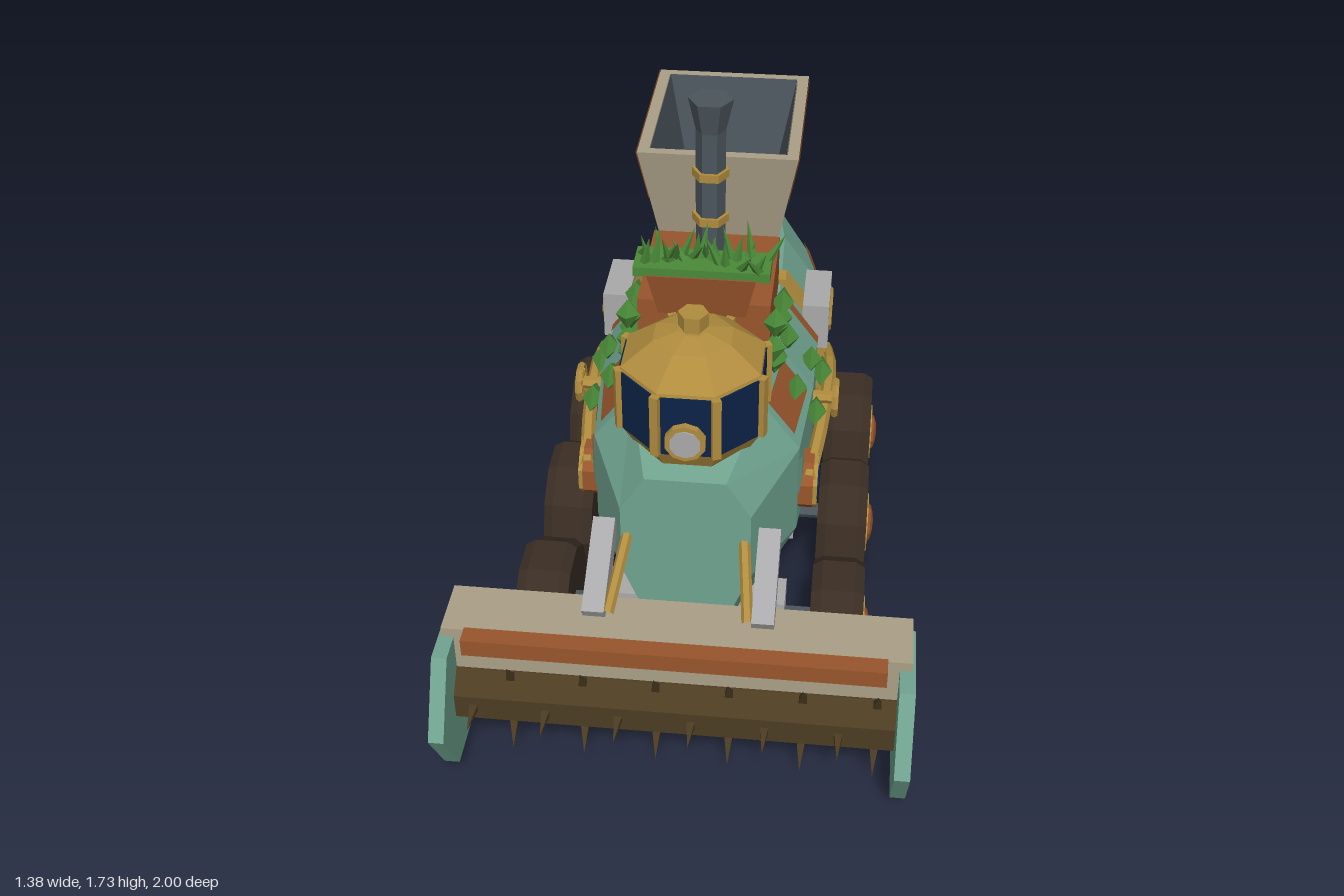
import * as THREE from 'three';
import { mergeGeometries } from 'three/addons/utils/BufferGeometryUtils.js';

const mat = (name, color, double) => {
  const m = new THREE.MeshStandardMaterial({ color });
  m.name = name;
  if (double) m.side = THREE.DoubleSide;
  return m;
};

// Faceted copy of a geometry, without uvs so that pieces merge
const flat = (g) => {
  const f = g.index ? g.toNonIndexed() : g.clone();
  f.deleteAttribute('uv');
  f.computeVertexNormals();
  return f;
};
const mirrored = (g) => {
  const f = flat(g), p = f.attributes.position, v = new THREE.Vector3(), w = new THREE.Vector3();
  f.scale(-1, 1, 1);
  for (let i = 0; i < p.count; i += 3) {
    v.fromBufferAttribute(p, i + 1);
    w.fromBufferAttribute(p, i + 2);
    p.setXYZ(i + 1, w.x, w.y, w.z);
    p.setXYZ(i + 2, v.x, v.y, v.z);
  }
  f.computeVertexNormals();
  return f;
};
const fromPoints = (points, index) => {
  const g = new THREE.BufferGeometry();
  g.setAttribute('position', new THREE.Float32BufferAttribute(points.flat(), 3));
  g.setIndex(index);
  return g;
};
// Skin closed rings, counter-clockwise as seen from the end of the loft
const loft = (rings) => {
  const n = rings[0].length, idx = [], last = (rings.length - 1) * n;
  for (let i = 0; i < rings.length - 1; i++) for (let j = 0; j < n; j++) {
    const k = (j + 1) % n, a = i * n + j, b = i * n + k;
    idx.push(a, b, b + n, a, b + n, a + n);
  }
  for (let j = 1; j < n - 1; j++) idx.push(0, j + 1, j, last, last + j, last + j + 1);
  return fromPoints(rings.flat(), idx);
};
const rect = (w, y, z0, z1) => [[w, y, z1], [w, y, z0], [-w, y, z0], [-w, y, z1]];
const box = (w, h, d, x, y, z, rx = 0) => new THREE.BoxGeometry(w, h, d).rotateX(rx).translate(x, y, z);
const upright = (r0, r1, y0, y1, n, z, turn = 0) =>
  new THREE.CylinderGeometry(r1, r0, y1 - y0, n).rotateY(turn).translate(0, (y0 + y1) / 2, z);
const sideways = (r, x0, x1, n, y, z, turn = 0) =>
  new THREE.CylinderGeometry(r, r, x1 - x0, n).rotateY(turn).rotateZ(-Math.PI / 2).translate((x0 + x1) / 2, y, z);
const pipe = (pts, r, seg, n = 6) =>
  new THREE.TubeGeometry(new THREE.CatmullRomCurve3(pts.map((p) => new THREE.Vector3(...p))), seg, r, n);

// Hull sections: z, half width, bottom, top
const hull = [[-0.925, 0.27, 0.24, 0.975], [-0.7, 0.325, 0.2, 0.995], [-0.45, 0.335, 0.2, 1.0],
  [-0.1, 0.335, 0.2, 0.985], [0.2, 0.31, 0.24, 0.96], [0.5, 0.19, 0.36, 0.89]];
const LOW = 0.35, HIGH = 0.78, FLAT = 0.62;
const octagon = (z, w, y0, y1) => {
  const a = y0 + (y1 - y0) * LOW, b = y0 + (y1 - y0) * HIGH, t = w * FLAT;
  return [[w, a, z], [w, b, z], [t, y1, z], [-t, y1, z], [-w, b, z], [-w, a, z], [-t, y0, z], [t, y0, z]];
};
const hullX = (z, y) => {
  let i = 0;
  while (i < hull.length - 2 && z > hull[i + 1][0]) i++;
  const t = THREE.MathUtils.clamp((z - hull[i][0]) / (hull[i + 1][0] - hull[i][0]), 0, 1);
  const [, w, y0, y1] = hull[i].map((v, k) => v + (hull[i + 1][k] - v) * t);
  const f = THREE.MathUtils.clamp((y - y0) / (y1 - y0), 0, 1);
  const k = f < LOW ? f / LOW : f > HIGH ? (1 - f) / (1 - HIGH) : 1;
  return w * (FLAT + (1 - FLAT) * k);
};
// Plate that follows the hull side
const patch = (z0, z1, y0, y1) => {
  const g = new THREE.PlaneGeometry(z1 - z0, y1 - y0, 4, 5).rotateY(Math.PI / 2)
    .translate(0, (y0 + y1) / 2, (z0 + z1) / 2);
  const p = g.attributes.position;
  for (let i = 0; i < p.count; i++) p.setX(i, hullX(p.getZ(i), p.getY(i)) + 0.009);
  return g;
};

export function createModel() {
  const root = new THREE.Group();
  root.name = 'harvester';
  const teal = mat('teal paint', 0x70a490, true), rust = mat('rust', 0x98552c, true), beige = mat('beige paint', 0xaba087),
    brass = mat('brass', 0xb08c3e), tyre = mat('tyre rubber', 0x3a2d23), iron = mat('dark iron', 0x4c3c22),
    glass = mat('navy glass', 0x0c2347), steel = mat('steel', 0x4b555c), silver = mat('silver', 0xa9a9ab),
    leaf = mat('leaf green', 0x4a8a38);
  const add = (name, m, ...geos) => {
    const mesh = new THREE.Mesh(mergeGeometries(geos.map(flat)), m);
    mesh.name = name;
    root.add(mesh);
  };
  const pair = (name, m, ...geos) => {
    add(name + 'Left', m, ...geos);
    add(name + 'Right', m, ...geos.map(mirrored));
  };
  let seed = 7;
  const rnd = () => (seed = (seed * 16807) % 2147483647) / 2147483647;

  // Hull, strap and patches
  add('hull', teal, loft(hull.map((s) => octagon(...s))));
  add('hullStrap', brass, loft([octagon(-0.46, 0.36, 0.18, 1.015), octagon(-0.4, 0.36, 0.18, 1.015)]));
  pair('rustPatches', rust, patch(-0.05, 0.18, 0.84, 0.95), patch(-0.36, -0.32, 0.83, 0.97),
    patch(-0.92, -0.77, 0.65, 0.85), patch(-0.38, -0.28, 0.42, 0.48), patch(-0.92, -0.77, 0.25, 0.43));
  pair('tealPatches', teal, patch(0.15, 0.3, 0.64, 0.77), patch(-0.39, -0.19, 0.48, 0.65));

  // Rear door
  add('rearDoor', rust, box(0.34, 0.51, 0.02, 0, 0.585, -0.932));
  add('rearDoorBar', brass, box(0.54, 0.04, 0.03, 0, 0.62, -0.948));
  add('rearDoorRing', brass, new THREE.TorusGeometry(0.035, 0.008, 4, 6).translate(0, 0.75, -0.945));

  // Wheels, axles and brackets
  const tread = [[0, -0.08], [0.2, -0.08], [0.217, -0.05], [0.217, 0.05], [0.2, 0.08], [0, 0.08]]
    .map((p) => new THREE.Vector2(...p));
  [0.33, -0.175, -0.68].forEach((z, i) => {
    const name = ['front', 'middle', 'rear'][i];
    pair(name + 'Tyre', tyre, new THREE.LatheGeometry(tread, 10).rotateZ(-Math.PI / 2).translate(0.45, 0.215, z));
    pair(name + 'Hub', brass, sideways(0.1, 0.5, 0.536, 10, 0.215, z));
    pair(name + 'HubCap', rust, new THREE.SphereGeometry(0.066, 8, 3, 0, Math.PI * 2, 0, Math.PI / 2)
      .scale(1, 0.3, 1).rotateZ(-Math.PI / 2).translate(0.535, 0.215, z));
    add(name + 'Axle', steel, sideways(0.025, -0.4, 0.4, 6, 0.25, z));
    pair(name + 'Bracket', silver, box(0.18, 0.17, 0.12, 0.2, 0.255, z));
  });

  // Turret with windows
  const turn = Math.PI / 8, tz = 0.27;
  add('turretBase', brass, upright(0.17, 0.222, 0.88, 0.97, 8, tz, turn));
  add('turretWindows', glass, upright(0.222, 0.222, 0.965, 1.16, 8, tz, turn));
  const posts = [];
  for (let i = 0; i < 8; i++) {
    posts.push(new THREE.BoxGeometry(0.026, 0.2, 0.026).translate(0, 1.065, 0.22)
      .rotateY(turn + i * Math.PI / 4).translate(0, 0, tz));
  }
  add('turretPosts', brass, ...posts);
  const roof = [[0.0, 1.15], [0.22, 1.15], [0.215, 1.17], [0.12, 1.24], [0.045, 1.26], [0, 1.26]];
  add('turretRoof', brass, new THREE.LatheGeometry(roof.map((p) => new THREE.Vector2(...p)), 8)
    .rotateY(turn).translate(0, 0, tz));
  add('roofKnob', brass, upright(0.035, 0.035, 1.25, 1.3, 6, tz, Math.PI / 2), upright(0.044, 0.044, 1.27, 1.315, 6, tz, Math.PI / 2));
  const lamp = (r, z0, z1) => new THREE.CylinderGeometry(r, r, z1 - z0, 10).rotateX(Math.PI / 2).translate(0, 1.02, (z0 + z1) / 2);
  add('headlightRim', brass, lamp(0.06, 0.45, 0.495));
  add('headlightLens', silver, lamp(0.045, 0.49, 0.5));

  // Engine box and chimney
  add('engineBox', rust, box(0.4, 0.22, 0.405, 0, 1.06, -0.203));
  const cz = -0.205, q = Math.PI / 2;
  add('chimney', steel, upright(0.045, 0.045, 1.16, 1.64, 6, cz, q), upright(0.045, 0.067, 1.64, 1.738, 6, cz, q));
  add('chimneyRings', brass, upright(0.065, 0.05, 1.165, 1.205, 6, cz, q),
    ...[1.35, 1.5].map((y) => upright(0.056, 0.056, y - 0.013, y + 0.013, 6, cz, q)));

  // Planter and grass
  add('planter', rust, loft([rect(0.13, 1.16, -0.03, 0.05), rect(0.16, 1.3, -0.045, 0.075)]));
  const grass = [box(0.4, 0.03, 0.12, 0, 1.31, 0.01)];
  for (let i = 0; i < 26; i++) {
    const h = 0.06 + rnd() * 0.06;
    grass.push(new THREE.ConeGeometry(0.016, h, 4).translate(0, h / 2, 0).rotateX((rnd() - 0.4) * 1.2)
      .rotateZ((rnd() - 0.5) * 1.1).translate(-0.185 + 0.37 * i / 25, 1.315, -0.04 + rnd() * 0.1));
  }
  add('planterGrass', leaf, ...grass);

  // Hanging ivy
  const ivy = [[0.07, 1.16], [0.08, 1.08], [0.06, 1.02], [0, 1.11], [0.01, 1.0], [0.01, 0.89], [-0.01, 0.79],
    [-0.1, 1.07], [-0.17, 1.08], [-0.16, 0.96], [-0.19, 0.86], [-0.24, 0.78]];
  pair('ivy', leaf, ...ivy.map(([z, y], i) => new THREE.OctahedronGeometry(1)
    .scale(0.035, 0.048, i < 3 ? 0.035 : 0.07).rotateX((rnd() - 0.5) * 0.4)
    .translate(hullX(z, y) + 0.02, y, z)));

  // Hopper
  add('hopper', beige, loft([rect(0.165, 0.98, -0.91, -0.49), rect(0.25, 1.445, -1, -0.405),
    rect(0.215, 1.445, -0.97, -0.437), rect(0.15, 1.1, -0.91, -0.5)]));
  add('hopperLining', steel, loft([rect(0.25, 1.4, -0.99, -0.41), rect(0.216, 1.446, -0.971, -0.436),
    rect(0.146, 1.11, -0.905, -0.505)].slice(1).map((r) => r.map(([x, y, z]) => [x * 0.985, y, z])).map((r) => r.reverse()))
    .translate(0, 0.002, 0));
  root.children.at(-1).geometry = flat(fromPoints([...rect(0.212, 1.446, -0.967, -0.44), ...rect(0.146, 1.112, -0.9, -0.51)],
    [0, 1, 5, 0, 5, 4, 1, 2, 6, 1, 6, 5, 2, 3, 7, 2, 7, 6, 3, 0, 4, 3, 4, 7, 4, 5, 6, 4, 6, 7]));
  pair('hopperBand', rust, fromPoints([[0.221, 1.265, -0.44], [0.221, 1.265, -0.964], [0.254, 1.445, -1], [0.254, 1.445, -0.405]],
    [0, 1, 2, 0, 2, 3]));

  // Side fittings
  pair('portholeCase', rust, sideways(0.095, 0.24, 0.355, 8, 0.62, 0.11, turn));
  pair('portholeRim', brass, sideways(0.092, 0.35, 0.368, 8, 0.62, 0.11, turn));
  pair('portholeGlass', glass, sideways(0.068, 0.36, 0.373, 8, 0.62, 0.11, turn));
  pair('sidePipe', brass, pipe([[0.34, 0.67, 0.18], [0.365, 0.71, -0.02], [0.38, 0.72, -0.34], [0.36, 0.635, -0.585]], 0.022, 8));
  const spokes = [0, 1, 2].map((i) => box(0.014, 0.12, 0.014, 0.405, 0.765, 0).translate(0, -0.765, 0)
    .rotateX(i * Math.PI / 3).translate(0, 0.765, -0.12));
  pair('valveWheel', brass, new THREE.TorusGeometry(0.056, 0.011, 5, 10).rotateY(Math.PI / 2).translate(0.405, 0.765, -0.12),
    sideways(0.02, 0.32, 0.415, 6, 0.765, -0.12), ...spokes);
  pair('gaugeBox', silver, box(0.085, 0.16, 0.22, 0.325, 0.86, -0.48));
  pair('gaugeRings', brass, ...[-0.43, -0.54].map((z) => new THREE.TorusGeometry(0.037, 0.007, 4, 6)
    .rotateY(Math.PI / 2).translate(0.369, 0.86, z)));

  // Threshing head with lift arms
  const hy = 0.285, hz = 0.755;
  pair('liftArm', silver, box(0.065, 0.075, 0.29, 0.243, 0.605, 0.572, 0.5));
  pair('liftRod', brass, pipe([[0.165, 0.7, 0.44], [0.2, 0.56, 0.71]], 0.017, 1));
  pair('headSupport', silver, box(0.12, 0.09, 0.03, 0.45, 0.155, 0.56));
  add('headHood', beige, box(1.27, 0.16, 0.18, 0, 0.44, 0.702), box(1.34, 0.03, 0.18, 0, 0.518, 0.702));
  add('hoodStrip', rust, box(1.2, 0.056, 0.055, 0, 0.518, 0.822));
  add('drum', iron, sideways(0.108, -0.64, 0.64, 8, hy, hz, turn));
  const spikes = [];
  for (let i = 0; i < 12; i++) for (let k = 0; k < 3; k++) {
    const a = (k * 2 + (i % 2)) * Math.PI / 3;
    spikes.push(new THREE.ConeGeometry(0.019, 0.1, 4).rotateY(Math.PI / 4).translate(0, 0.138, 0)
      .rotateX(Math.PI / 2 - a).translate(-0.58 + i * 0.1055, hy, hz));
  }
  add('drumSpikes', iron, ...spikes);
  pair('headEndPlate', teal, sideways(0.248, 0.635, 0.68, 6, hy, 0.752));
  pair('endPlateHub', brass, sideways(0.06, 0.67, 0.685, 8, hy, hz, turn));
  pair('endPlateBolt', rust, sideways(0.037, 0.68, 0.69, 6, hy, hz));
  return root;
}
